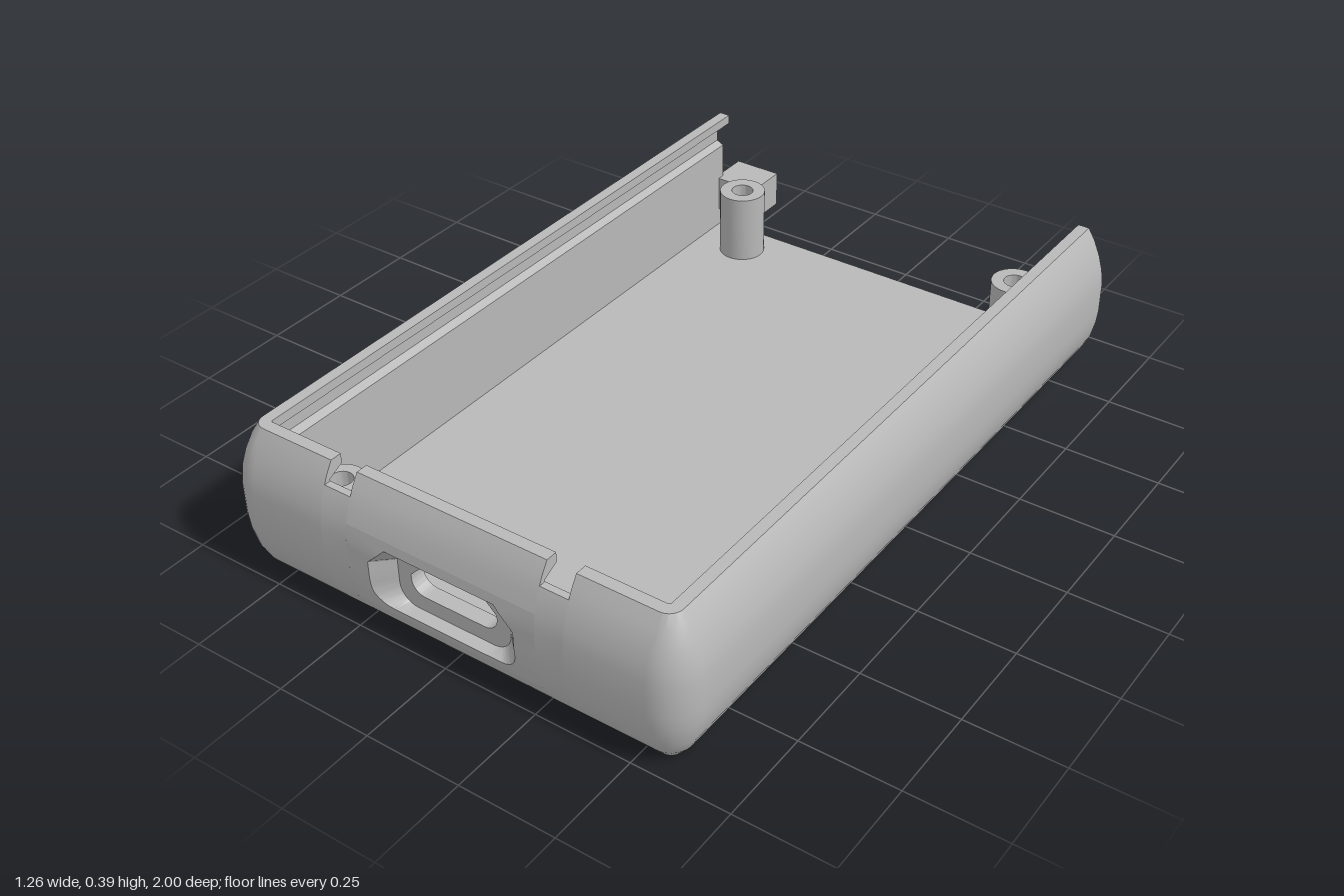
import * as THREE from 'three';
import { toCreasedNormals } from 'three/addons/utils/BufferGeometryUtils.js';

const R = 0.09;                 // plan corner radius
const CX = 0.63 - R, CZ = 1 - R; // corner centre
const BACK = -0.9, SPLIT = 0.28, FLOOR = 0.04;

// Wall cross-section as [inset from the outermost face, height]
const OUTER = [[0.06, 0], [0.036, 0.03], [0.016, 0.07], [0.004, 0.12], [0, 0.16], [0, 0.24],
  [0.006, 0.28], [0.018, 0.32], [0.036, 0.36], [0.055, 0.39]];
const GROOVE = [[0.045, 0.3], [0.065, 0.29]];
const LIP = [[0.085, 0.39], [0.085, 0.365], [0.045, 0.345], ...GROOVE];
const FULL = [...OUTER, ...LIP, [0.065, 0]];
const NOTCHED = [...OUTER.slice(0, 8), [0.027, 0.34], [0.045, 0.34], ...GROOVE, [0.065, 0]];
const UPPER = [...OUTER.slice(6), ...LIP, [0.065, SPLIT]];

function insetAt(y) {
  for (let i = 1; i < OUTER.length; i++) {
    const [d0, y0] = OUTER[i - 1], [d1, y1] = OUTER[i];
    if (y <= y1) return d0 + (d1 - d0) * (y - y0) / (y1 - y0);
  }
  return 0.055;
}

function fromTriangles(positions, index) {
  const g = new THREE.BufferGeometry();
  g.setAttribute('position', new THREE.Float32BufferAttribute(positions, 3));
  g.setIndex(index);
  return toCreasedNormals(g, 0.5);
}

// Solid swept along stations [x, z, nx, nz], with both ends capped
function sweep(section, stations) {
  const n = section.length, pos = [], idx = [];
  for (const [x, z, nx, nz] of stations)
    for (const [d, y] of section) pos.push(x + nx * (R - d), y, z + nz * (R - d));
  for (let i = 0; i < stations.length - 1; i++)
    for (let j = 0; j < n; j++) {
      const a = i * n + j, b = i * n + (j + 1) % n;
      idx.push(a, b, a + n, b, b + n, a + n);
    }
  const end = (stations.length - 1) * n;
  const flat = section.map(([d, y]) => new THREE.Vector2(R - d, y));
  for (const [a, b, c] of THREE.ShapeUtils.triangulateShape(flat, []))
    idx.push(a, c, b, end + a, end + b, end + c);
  return fromTriangles(pos, idx);
}

const front = (x) => [x, CZ, 0, 1];
const mirror = (stations) => stations.map(([x, z, nx, nz]) => [-x, z, -nx, nz]).reverse();

// Port outline: chamfered at the top, rounded at the bottom, anticlockwise
function portLoop(hw, y0, y1, chamfer, radius) {
  const pts = [[hw, y1 - chamfer], [hw - chamfer, y1], [chamfer - hw, y1], [-hw, y1 - chamfer]];
  for (let i = 0; i <= 6; i++) {
    const a = Math.PI + i * Math.PI / 12;
    pts.push([radius - hw + radius * Math.cos(a), y0 + radius + radius * Math.sin(a)]);
  }
  for (let i = 0; i <= 6; i++) {
    const a = 1.5 * Math.PI + i * Math.PI / 12;
    pts.push([hw - radius + radius * Math.cos(a), y0 + radius + radius * Math.sin(a)]);
  }
  return pts;
}

// Point where a ray from the port centre meets a convex loop
const PY = 0.172;
function hit(loop, angle) {
  const c = Math.cos(angle), s = Math.sin(angle);
  let best = 0;
  for (let i = 0; i < loop.length; i++) {
    const [ax, ay] = loop[i], [bx, by] = loop[(i + 1) % loop.length];
    const ex = bx - ax, ey = by - ay, den = c * ey - s * ex;
    if (Math.abs(den) < 1e-9) continue;
    const t = (ax * ey - (ay - PY) * ex) / den;
    const u = (ax * s - (ay - PY) * c) / den;
    if (t > 0 && u > -1e-5 && u < 1 + 1e-5) best = Math.max(best, t);
  }
  return [best * c, PY + best * s];
}

// Lower front wall: outer skin, recess, slot, inner pad and inner skin in one loft
function portPanel() {
  const rect = [[0.26, 0], [0.26, SPLIT], [-0.26, SPLIT], [-0.26, 0]];
  const mouth = portLoop(0.202, 0.09, 0.255, 0.05, 0.05);
  const ledge = portLoop(0.157, 0.09, 0.255, 0.05, 0.05);
  const slot = portLoop(0.12, 0.13, 0.212, 0.034, 0.036);
  const pad = portLoop(0.21, 0.05, 0.27, 0.06, 0.03);
  const angles = [];
  for (let i = 0; i < 48; i++) angles.push(-Math.PI + i * Math.PI / 24);
  for (const loop of [rect, mouth, ledge, slot, pad])
    for (const [x, y] of loop) angles.push(Math.atan2(y - PY, x));
  angles.sort((a, b) => a - b);
  const list = angles.filter((a, i) => i === 0 || a - angles[i - 1] > 1e-4);

  const rings = [];
  for (let k = 0; k <= 10; k++)
    rings.push(list.map((a) => {
      const [x0, y0] = hit(rect, a), [x1, y1] = hit(mouth, a), t = k / 10;
      const y = y0 + (y1 - y0) * t;
      return [x0 + (x1 - x0) * t, y, 1 - insetAt(y)];
    }));
  for (const [loop, z] of [[ledge, 0.955], [slot, 0.955], [slot, 0.915], [pad, 0.915], [pad, 0.935], [rect, 0.935]])
    rings.push(list.map((a) => [...hit(loop, a), z]));

  const n = list.length, idx = [];
  for (let k = 0; k < rings.length - 1; k++)
    for (let i = 0; i < n; i++) {
      const a = k * n + i, b = k * n + (i + 1) % n;
      idx.push(a, b, a + n, b, b + n, a + n);
    }
  return fromTriangles(rings.flat(2), idx);
}

export function createModel() {
  const model = new THREE.Group();
  model.name = 'enclosureShell';
  const grey = new THREE.MeshStandardMaterial({ color: 0xb8b8b8, side: THREE.DoubleSide });
  grey.name = 'grey plastic';
  const add = (name, geometry, x = 0, y = 0, z = 0) => {
    const mesh = new THREE.Mesh(geometry, grey);
    mesh.name = name;
    mesh.position.set(x, y, z);
    model.add(mesh);
  };

  // Floor plate with rounded front corners
  const s = new THREE.Shape();
  s.moveTo(-0.57, -BACK);
  s.lineTo(-0.57, -0.91);
  s.absarc(-0.54, -0.91, 0.03, Math.PI, 1.5 * Math.PI);
  s.absarc(0.54, -0.91, 0.03, 1.5 * Math.PI, 2 * Math.PI);
  s.lineTo(0.57, -BACK);
  add('floor', new THREE.ExtrudeGeometry(s, { depth: FLOOR, bevelEnabled: false }).rotateX(-Math.PI / 2));

  // Side walls, rounded corners and the front wall with its notches
  const side = [[CX, BACK, 1, 0]];
  for (let i = 0; i <= 10; i++) {
    const a = i * Math.PI / 20;
    side.push([CX, CZ, Math.cos(a), Math.sin(a)]);
  }
  side.push(front(0.335));
  const notch = [front(0.335), front(0.26)];
  add('leftWall', sweep(FULL, side));
  add('rightWall', sweep(FULL, mirror(side)));
  add('leftNotch', sweep(NOTCHED, notch));
  add('rightNotch', sweep(NOTCHED, mirror(notch)));
  add('frontRim', sweep(UPPER, [front(0.26), front(-0.26)]));
  add('portPanel', portPanel());

  for (const m of [-1, 1]) {
    // Hollow screw posts
    for (const [z, r, hole] of [[-0.8, 0.063, 0.03], [0.835, 0.056, 0.028]]) {
      const profile = [[r, 0], [r, 0.19], [hole, 0.19], [hole, 0]].map((p) => new THREE.Vector2(...p));
      add('screwPost', toCreasedNormals(new THREE.LatheGeometry(profile, 32), 0.6), m * 0.43, FLOOR, z);
    }
    // Rear latch tabs, each with a small nub underneath
    add('latchTab', new THREE.BoxGeometry(0.135, 0.1, 0.12), m * 0.51, 0.14, -0.94);
    add('latchNub', new THREE.SphereGeometry(0.014, 16, 10), m * 0.51, 0.09, -0.95);
    // Catch inside the front wall
    add('frontCatch', new THREE.BoxGeometry(0.11, 0.03, 0.025), m * 0.45, 0.285, 0.932);
  }
  return model;
}
